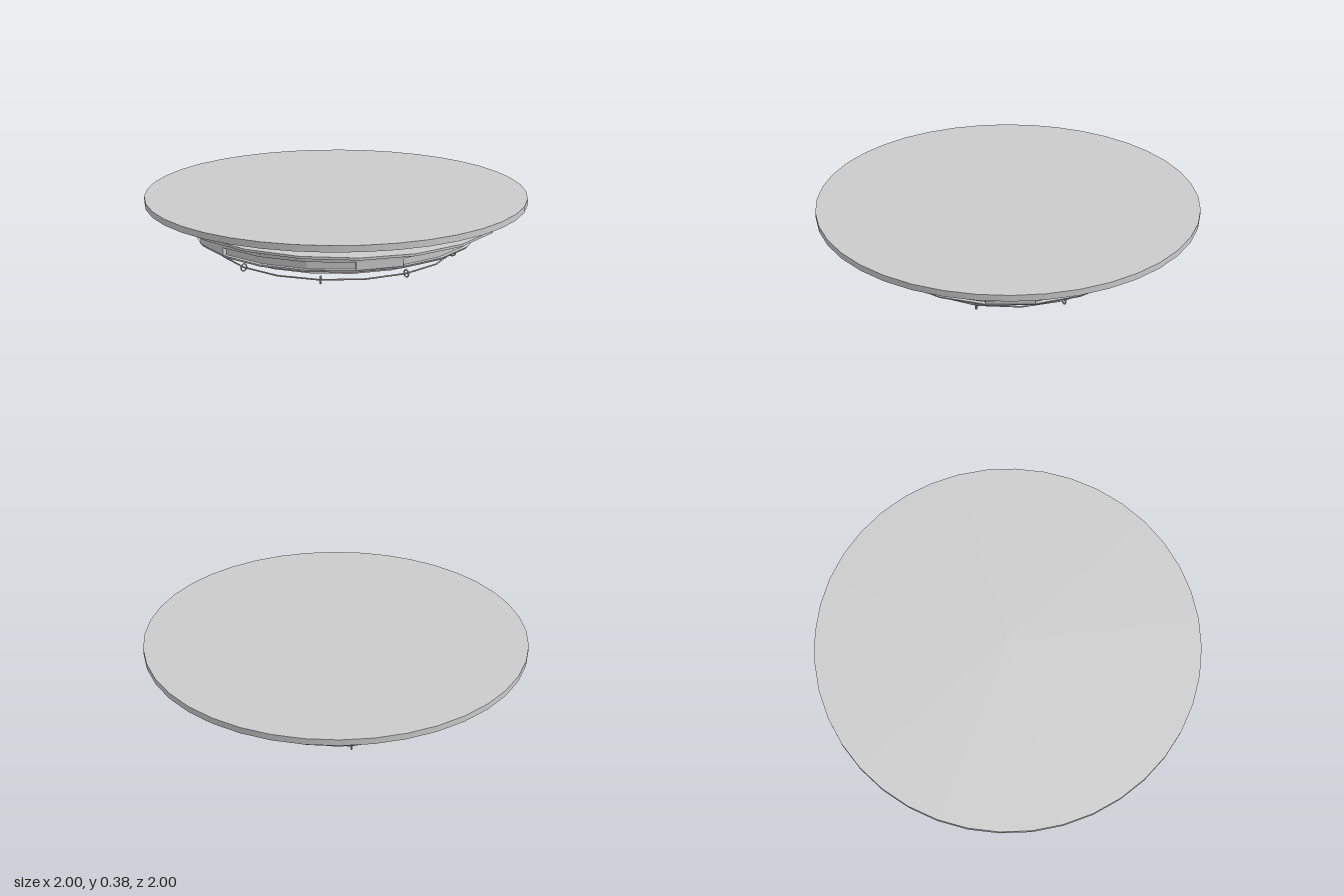
import * as THREE from 'three';
import { toCreasedNormals } from 'three/addons/utils/BufferGeometryUtils.js';

const STEP = Math.PI / 10; // one of the 20 hull sides
const BAYS = 5;
const TILT = -0.025;

export function createModel() {
  const model = new THREE.Group();
  const grey = new THREE.MeshStandardMaterial({ color: 0xcccccc });
  const thin = new THREE.MeshStandardMaterial({ color: 0xcccccc, side: THREE.DoubleSide });

  function add(name, geometry, parent = model, material = grey) {
    const mesh = new THREE.Mesh(geometry, material);
    mesh.name = name;
    parent.add(mesh);
    return mesh;
  }
  // Lathe with crisp edges; profile runs bottom to top
  function lathe(points, sides = 20, start = 0, sweep = Math.PI * 2, crease = 0.25) {
    const profile = points.map(([r, y]) => new THREE.Vector2(r, y));
    return toCreasedNormals(new THREE.LatheGeometry(profile, sides, start, sweep), crease);
  }

  // Top plate
  add('topPlate', new THREE.CylinderGeometry(1, 1, 0.032, 40)).position.y = 0.361;

  // Slightly tilted middle disc
  const disc = add('tiltedDisc', lathe([[0, -0.008], [0.86, -0.008], [0.88, -0.005], [0.88, 0.007], [0, 0.007]]));
  disc.position.y = 0.29;
  disc.rotation.z = TILT;

  // Shallow conical belly with a small step, up to the bottom of the slots
  add('belly', lathe([[0, 0], [0.33, 0.06], [0.54, 0.105], [0.62, 0.122], [0.635, 0.122], [0.635, 0.13],
    [0.745, 0.165], [0.755, 0.178], [0.735, 0.178]], 20, 0, Math.PI * 2, 0.35));

  // Upper rim and deck
  add('rimAndDeck', lathe([[0.735, 0.218], [0.757, 0.218], [0.76, 0.235], [0.68, 0.235], [0.42, 0.245], [0, 0.245]]));

  // Side wall: five recessed slots separated by full-width pillars
  for (let i = 0; i < BAYS; i++) {
    const start = i * 4 * STEP;
    add('slotBack', lathe([[0.735, 0.178], [0.737, 0.218]], 3, start, 3 * STEP));
    add('wallSection', lathe([[0.755, 0.178], [0.757, 0.218]], 1, start + 3 * STEP, STEP));
    for (const angle of [start, start + 3 * STEP]) {
      const end = add('slotEnd', new THREE.PlaneGeometry(0.022, 0.04), model, thin);
      end.position.set(0.746 * Math.sin(angle), 0.198, 0.746 * Math.cos(angle));
      end.rotation.y = angle - Math.PI / 2;
    }

    // Waisted support reaching up to the tilted disc
    const angle = start + 3.5 * STEP;
    const x = 0.695 * Math.sin(angle), z = 0.695 * Math.cos(angle);
    const top = 0.287 + TILT * x, bottom = 0.233;
    const geometry = new THREE.BoxGeometry(0.2, top - bottom, 0.065, 1, 8, 1);
    const p = geometry.attributes.position;
    for (let j = 0; j < p.count; j++) {
      const v = (2 * p.getY(j)) / (top - bottom);
      const waist = 1 - v * v;
      p.setX(j, p.getX(j) * (1 - 0.2 * waist));
      p.setZ(j, p.getZ(j) * (1 - 0.4 * waist));
    }
    const support = add('support', toCreasedNormals(geometry, 0.7));
    support.position.set(x, (top + bottom) / 2, z);
    support.rotation.y = angle;
  }

  // Thin hoop under the hull, carried by nine eyelets
  const hoop = add('hoop', new THREE.TorusGeometry(0.63, 0.004, 6, 18));
  hoop.rotation.set(Math.PI / 2, 0, Math.PI / 2);
  hoop.position.y = 0.09;
  const eyelet = new THREE.TorusGeometry(0.018, 0.004, 6, 12);
  for (let i = 0; i < 9; i++) {
    const angle = (i * Math.PI * 2) / 9;
    const ring = add('eyelet', eyelet);
    ring.position.set(0.63 * Math.sin(angle), 0.09, 0.63 * Math.cos(angle));
    ring.rotation.y = angle + Math.PI / 2;
  }
  return model;
}
